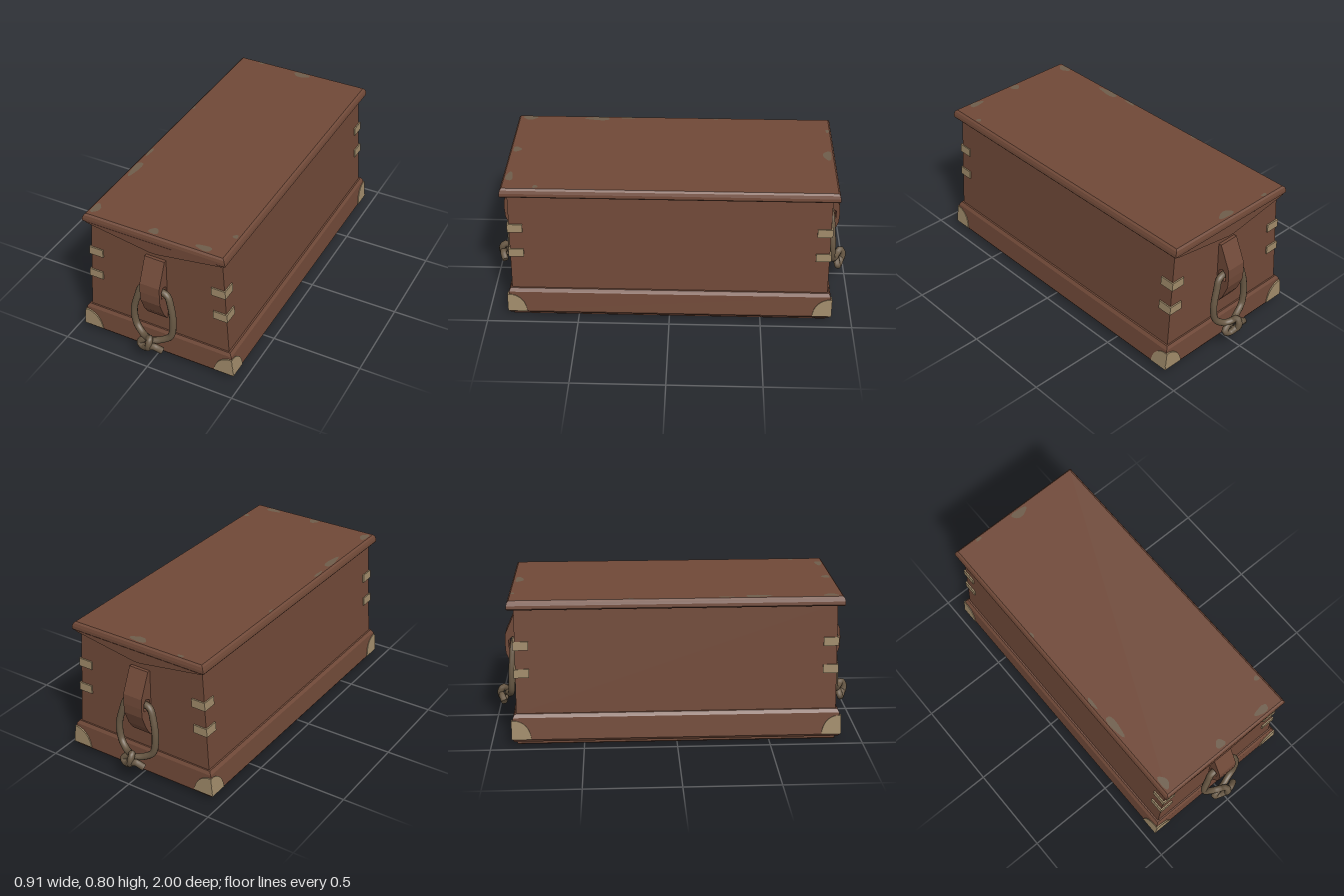
import * as THREE from 'three';

const mat = (name, color, side = THREE.FrontSide) => {
  const m = new THREE.MeshStandardMaterial({ color, side });
  m.name = name;
  return m;
};

// Stack of rectangles [y, halfX, halfZ], capped at both ends, with hard edges
function loft(levels) {
  const p = [];
  const ring = ([y, x, z]) => [[-x, y, z], [x, y, z], [x, y, -z], [-x, y, -z]];
  const quad = (a, b, c, d) => p.push(...a, ...b, ...c, ...a, ...c, ...d);
  const rings = levels.map(ring);
  for (let i = 0; i < rings.length - 1; i++) {
    for (let k = 0; k < 4; k++) {
      const n = (k + 1) % 4;
      quad(rings[i][k], rings[i][n], rings[i + 1][n], rings[i + 1][k]);
    }
  }
  const top = rings[rings.length - 1], low = rings[0];
  quad(top[0], top[1], top[2], top[3]);
  quad(low[3], low[2], low[1], low[0]);
  const g = new THREE.BufferGeometry();
  g.setAttribute('position', new THREE.Float32BufferAttribute(p, 3));
  g.computeVertexNormals();
  return g;
}

const polygon = pts => new THREE.Shape(pts.map(([x, y]) => new THREE.Vector2(x, y)));
const extrude = (shape, depth) =>
  new THREE.ExtrudeGeometry(shape, { depth, bevelEnabled: false, curveSegments: 10 });

export function createModel() {
  const model = new THREE.Group();
  model.name = 'seaChest';
  const wood = mat('brownPaint', 0x704938);
  const brass = mat('paleBrass', 0xa08b6a);
  const ropeMat = mat('rope', 0x675743);
  const worn = mat('wornPaint', 0x6e5d4b, THREE.DoubleSide);

  const add = (name, geometry, material, parent = model) => {
    const mesh = new THREE.Mesh(geometry, material);
    mesh.name = name;
    parent.add(mesh);
    return mesh;
  };

  // Tapered box, skirt with a recessed underside, and lid
  add('body', loft([[0.04, 0.42, 0.86], [0.17, 0.415, 0.862], [0.755, 0.377, 0.857]]), wood);
  add('baseSkirt', loft([
    [0.035, 0.4, 0.84], [0.02, 0.4, 0.84], [0.02, 0.44, 0.876], [0.035, 0.45, 0.885],
    [0.155, 0.437, 0.88], [0.173, 0.424, 0.87], [0.173, 0.4, 0.85],
  ]), wood);
  add('lid', loft([
    [0.748, 0.405, 0.887], [0.755, 0.41, 0.893], [0.772, 0.408, 0.893],
    [0.788, 0.402, 0.889], [0.797, 0.392, 0.88],
  ]), wood);

  // Runners under the long sides
  for (const sx of [-1, 1]) {
    add('runner', loft([[0, 0.013, 0.855], [0.006, 0.019, 0.86], [0.036, 0.019, 0.86]]), wood)
      .position.x = sx * 0.41;
  }

  // Brass straps and quarter-round plates on all four corners
  for (const sx of [-1, 1]) for (const sz of [-1, 1]) {
    for (const [y, half] of [[0.547, 0.391], [0.396, 0.401]]) {
      const front = add('cornerStrapEnd', new THREE.BoxGeometry(0.08, 0.047, 0.008), brass);
      front.position.set(sx * (half - 0.034), y, sz * 0.864);
      const side = add('cornerStrapSide', new THREE.BoxGeometry(0.008, 0.047, 0.082), brass);
      side.position.set(sx * (half + 0.003), y, sz * 0.827);
      side.rotation.z = sx * 0.064;
    }

    const endShape = new THREE.Shape();
    endShape.moveTo(sx * 0.453, 0.036);
    endShape.lineTo(sx * 0.443, 0.14);
    endShape.lineTo(sx * 0.42, 0.139);
    endShape.quadraticCurveTo(sx * 0.35, 0.12, sx * 0.338, 0.036);
    const endPlate = extrude(endShape, 0.008);
    endPlate.translate(0, 0, sz * 0.885 - 0.004);
    add('cornerPlateEnd', endPlate, brass);

    const u = z => -sx * sz * z;
    const sideShape = new THREE.Shape();
    sideShape.moveTo(u(0.888), 0);
    sideShape.lineTo(u(0.886), 0.104);
    sideShape.lineTo(u(0.86), 0.103);
    sideShape.quadraticCurveTo(u(0.79), 0.085, u(0.783), 0);
    const sidePlate = extrude(sideShape, 0.006);
    sidePlate.rotateY(sx * Math.PI / 2);
    sidePlate.rotateZ(sx * 0.108);
    sidePlate.translate(sx * 0.448, 0.036, 0);
    add('cornerPlateSide', sidePlate, brass);
  }

  // Each end: pointed cleat under the lid, slotted bracket, knotted rope handle
  for (const turn of [0, Math.PI]) {
    const end = new THREE.Group();
    end.name = turn ? 'backEnd' : 'frontEnd';
    end.rotation.y = turn;
    model.add(end);

    const cleat = extrude(polygon([[-0.39, 0.745], [-0.02, 0.686], [0.02, 0.686], [0.39, 0.745], [0.39, 0.752], [-0.39, 0.752]]), 0.036);
    cleat.translate(0, 0, 0.853);
    add('lidCleat', cleat, wood, end);

    const profile = polygon([[0.85, 0.64], [0.875, 0.64], [0.936, 0.505], [0.939, 0.45],
      [0.936, 0.395], [0.905, 0.315], [0.872, 0.265], [0.85, 0.265]]);
    profile.holes.push(new THREE.Path([[0.87, 0.425], [0.918, 0.425], [0.918, 0.47], [0.895, 0.49], [0.87, 0.475]]
      .map(([z, y]) => new THREE.Vector2(z, y))));
    const bracket = extrude(profile, 0.115);
    bracket.translate(0, 0, -0.0575);
    bracket.rotateY(-Math.PI / 2);
    add('handleBracket', bracket, wood, end);

    const path = new THREE.CatmullRomCurve3([
      [0.07, 0.107, 0.955], [0.03, 0.133, 0.972], [-0.01, 0.113, 0.972], [-0.04, 0.095, 0.96],
      [-0.068, 0.108, 0.95], [-0.045, 0.133, 0.943], [0.0, 0.138, 0.938], [0.05, 0.15, 0.922],
      [0.098, 0.185, 0.91], [0.112, 0.28, 0.905], [0.098, 0.38, 0.898], [0.075, 0.44, 0.892],
      [0.03, 0.452, 0.89], [-0.03, 0.452, 0.89], [-0.075, 0.44, 0.892], [-0.098, 0.38, 0.898],
      [-0.12, 0.28, 0.905], [-0.105, 0.19, 0.91], [-0.055, 0.152, 0.93], [-0.015, 0.158, 0.95],
      [0.002, 0.172, 0.965], [0.004, 0.145, 0.981], [-0.005, 0.112, 0.975], [-0.02, 0.1, 0.95],
    ].map(q => new THREE.Vector3(...q)));
    add('ropeHandle', new THREE.TubeGeometry(path, 150, 0.0185, 10), ropeMat, end);
    // Cut rope ends
    for (const t of [0, 1]) {
      const cap = new THREE.CircleGeometry(0.0185, 10);
      const dir = path.getTangentAt(t).multiplyScalar(t ? 1 : -1);
      const mesh = add('ropeEnd', cap, ropeMat, end);
      mesh.quaternion.setFromUnitVectors(new THREE.Vector3(0, 0, 1), dir);
      mesh.position.copy(path.getPointAt(t));
    }
  }

  // Worn patches on the lid: [x, z, halfX, halfZ]
  const patches = [[-0.368, 0.43, 0.022, 0.08], [-0.367, 0.82, 0.024, 0.045], [-0.01, 0.85, 0.03, 0.026],
    [0.275, 0.853, 0.05, 0.022], [0.01, -0.85, 0.055, 0.026], [-0.26, -0.868, 0.02, 0.011],
    [0.372, 0.705, 0.016, 0.016], [-0.38, 0.26, 0.01, 0.045], [-0.384, -0.24, 0.007, 0.02]];
  patches.forEach(([x, z, rx, rz], i) => {
    const pts = [];
    for (let k = 0; k < 16; k++) {
      const a = k / 16 * Math.PI * 2;
      const r = 0.88 + 0.12 * Math.sin(3 * a + i * 1.7);
      pts.push([rx * r * Math.cos(a), rz * r * Math.sin(a)]);
    }
    const g = new THREE.ShapeGeometry(polygon(pts));
    g.rotateX(-Math.PI / 2);
    g.translate(x, 0.7985, z);
    add('wornPatch', g, worn);
  });

  return model;
}
